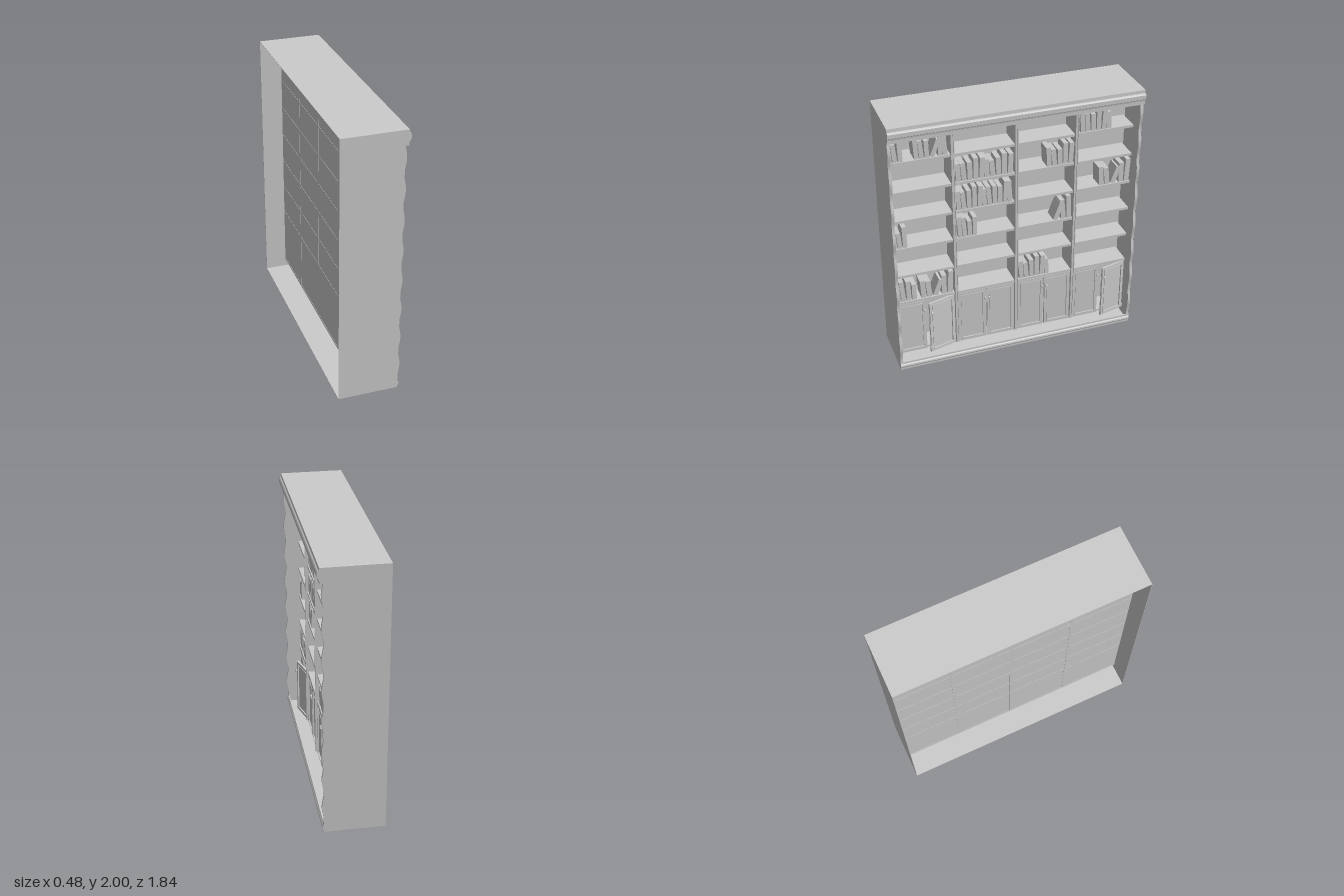
import * as THREE from 'three';

const material = new THREE.MeshStandardMaterial({ color: 0xcccccc, flatShading: true, side: THREE.DoubleSide });

// Box given by its x, y and z ranges
function box(parent, name, [x0, x1], [y0, y1], [z0, z1]) {
  const mesh = new THREE.Mesh(new THREE.BoxGeometry(x1 - x0, y1 - y0, z1 - z0), material);
  mesh.position.set((x0 + x1) / 2, (y0 + y1) / 2, (z0 + z1) / 2);
  mesh.name = name;
  parent.add(mesh);
  return mesh;
}

// Profile in x and y, extruded along z
function moulding(parent, name, points, z0, z1) {
  const shape = new THREE.Shape(points.map(([x, y]) => new THREE.Vector2(x, y)));
  const geometry = new THREE.ExtrudeGeometry(shape, { depth: z1 - z0, bevelEnabled: false });
  geometry.translate(0, 0, z0);
  const mesh = new THREE.Mesh(geometry, material);
  mesh.name = name;
  parent.add(mesh);
}

const FRONT = 0.1, BACK = -0.08, PITCH = 0.229;
const shelfTop = (k) => 0.53 + PITCH * k;

// Panelled door; the hinge is at local z = 0 and the door reaches along side * z
function door(parent, hingeZ, side, width, angle) {
  const group = new THREE.Group();
  group.name = 'cabinetDoor';
  const span = (a, b) => (side > 0 ? [a, b] : [-b, -a]);
  const h = 0.437, f = 0.021;
  box(group, 'doorPanel', [-0.014, -0.006], [0, h], span(0.002, width));
  for (const a of [0.002, width - f]) box(group, 'doorStile', [-0.016, 0], [0, h], span(a, a + f - 0.002));
  for (const y of [0, h - f]) box(group, 'doorRail', [-0.016, 0], [y, y + f], span(f, width - f));
  // Raised bead inside the frame
  for (const a of [f, width - f - 0.006]) box(group, 'doorBead', [-0.01, 0.004], [f, h - f], span(a, a + 0.006));
  for (const y of [f, h - f - 0.006]) box(group, 'doorBead', [-0.01, 0.004], [y, y + 0.006], span(f, width - f));
  const knob = new THREE.Mesh(new THREE.SphereGeometry(0.009, 12, 8), material);
  knob.name = 'doorKnob';
  knob.position.set(0.012, 0.36, side * (width - 0.012));
  group.add(knob);
  group.position.set(FRONT, 0.072, hingeZ);
  group.rotation.y = side * angle;
  parent.add(group);
}

// Row of books from z0 down to z1; heights in hundredths, a negative height marks a leaning book
function bookRow(parent, k, z0, z1, heights) {
  const weight = (h) => (h < 0 ? 1.5 : 1);
  const unit = (z0 - z1) / heights.reduce((sum, h) => sum + weight(h), 0);
  let z = z0;
  heights.forEach((h, i) => {
    const slot = unit * weight(h), tall = Math.abs(h) / 100;
    const thick = Math.min(unit * 0.85, 0.037);
    const geometry = new THREE.BoxGeometry(0.11, tall, thick);
    geometry.translate(0, tall / 2, 0);
    const book = new THREE.Mesh(geometry, material);
    book.name = 'book';
    book.position.set(0.037, shelfTop(k), z - slot * (h < 0 ? 0.3 : 0.5));
    book.rotation.x = h < 0 ? -0.36 : [0.06, 0.09, 0.03, 0, -0.05][i % 5];
    parent.add(book);
    z -= slot;
  });
}

export function createModel() {
  const model = new THREE.Group();
  model.name = 'bookcase';

  // Thin outer case, open at the back
  const shell = new THREE.Group();
  shell.name = 'outerCase';
  model.add(shell);
  box(shell, 'roof', [-0.24, 0.2], [1.997, 2], [-0.92, 0.92]);
  box(shell, 'floor', [-0.24, 0.2], [0, 0.003], [-0.92, 0.92]);
  for (const s of [-1, 1]) box(shell, 'sideWall', [-0.24, 0.2], [0, 2], s > 0 ? [0.917, 0.92] : [-0.92, -0.917]);

  // Cornice and plinth
  moulding(shell, 'cornice', [
    [0.2, 1.89], [0.224, 1.89], [0.224, 1.917], [0.232, 1.92], [0.234, 1.93], [0.24, 1.935],
    [0.24, 1.965], [0.234, 1.972], [0.226, 1.976], [0.224, 2], [0.2, 2],
  ], -0.92, 0.92);
  moulding(shell, 'plinth', [
    [0.192, 0], [0.2, 0], [0.2, 0.016], [0.206, 0.02], [0.21, 0.03], [0.208, 0.042],
    [0.2, 0.05], [0.2, 0.064], [0.192, 0.064],
  ], -0.92, 0.92);

  // Wavy strips along both front edges
  const wave = [[0.19, 0.05]];
  for (let i = 0; i <= 96; i++) {
    const y = 0.05 + (1.84 * i) / 96;
    wave.push([0.205 + 0.007 * Math.cos(((y - 1.805) / PITCH) * 2 * Math.PI), y]);
  }
  wave.push([0.19, 1.89]);
  moulding(shell, 'wavyTrim', wave, 0.9, 0.92);
  moulding(shell, 'wavyTrim', wave, -0.92, -0.9);

  // Inner unit: back, shelves and dividers
  const unit = new THREE.Group();
  unit.name = 'shelfUnit';
  model.add(unit);
  box(unit, 'backPanel', [BACK + 0.002, BACK + 0.006], [0.066, 1.885], [-0.917, 0.917]);
  box(unit, 'bottomBoard', [BACK, FRONT - 0.018], [0.066, 0.082], [-0.917, 0.917]);
  for (let k = 0; k < 6; k++) box(unit, 'shelf', [BACK, FRONT], [shelfTop(k) - 0.019, shelfTop(k)], [-0.905, 0.905]);
  const dividers = [0.448, -0.017, -0.467];
  for (const z of dividers) {
    box(unit, 'divider', [BACK, FRONT], [0.066, 1.885], [z - 0.012, z + 0.012]);
    box(unit, 'post', [FRONT, FRONT + 0.008], [0.088, 1.867], [z - 0.012, z + 0.012]);
    for (const d of [-0.009, 0.009]) {
      box(unit, 'postRib', [FRONT + 0.008, FRONT + 0.016], [0.088, 1.867], [z + d - 0.003, z + d + 0.003]);
    }
  }

  // Two doors in each bay; two of them stand ajar
  const edges = [0.914, ...dividers, -0.914];
  for (let bay = 0; bay < 4; bay++) {
    const left = edges[bay] - 0.013, right = edges[bay + 1] + 0.013;
    const width = (left - right) / 2 - 0.003;
    door(unit, left, -1, width, 0);
    door(unit, right, 1, width, [0.27, 0, 0, 0.25][bay]);
  }

  // Books: shelf, z range and heights
  const books = new THREE.Group();
  books.name = 'books';
  model.add(books);
  [
    [5, 0.9, 0.79, [12.5, 13.5, 17]],
    [5, 0.715, 0.475, [14.5, 13.5, 13, -13.5, 15.5, 17.5]],
    [5, -0.5, -0.74, [15, 14, 13, 17, 16, 13]],
    [4, 0.425, 0.005, [14, 14, 14, 16.5, 16, 14, 12.5, 14, 16.5, 15.5]],
    [4, -0.25, -0.452, [15, 13, 12.5, 16.5, 16]],
    [3, 0.425, 0.005, [15, 14, 14.5, 17, 16.5, 13.5, 15, 14.5, 13.5, 17, 16.5]],
    [3, -0.66, -0.9, [15, 13.5, -13.5, 15.5, 18]],
    [2, 0.9, 0.79, [13, 12.5, 17]],
    [2, 0.42, 0.275, [17, 16, 12.5, 15]],
    [2, -0.305, -0.452, [-14, 16, 18.5]],
    [0, 0.9, 0.742, [14, 17, 16.5, 13]],
    [0, 0.712, 0.47, [14.5, 13.5, -13.5, 16, 18.5]],
    [0, -0.045, -0.285, [15, 13, 14.5, 17, 16.5, 13]],
  ].forEach((row) => bookRow(books, ...row));

  return model;
}
